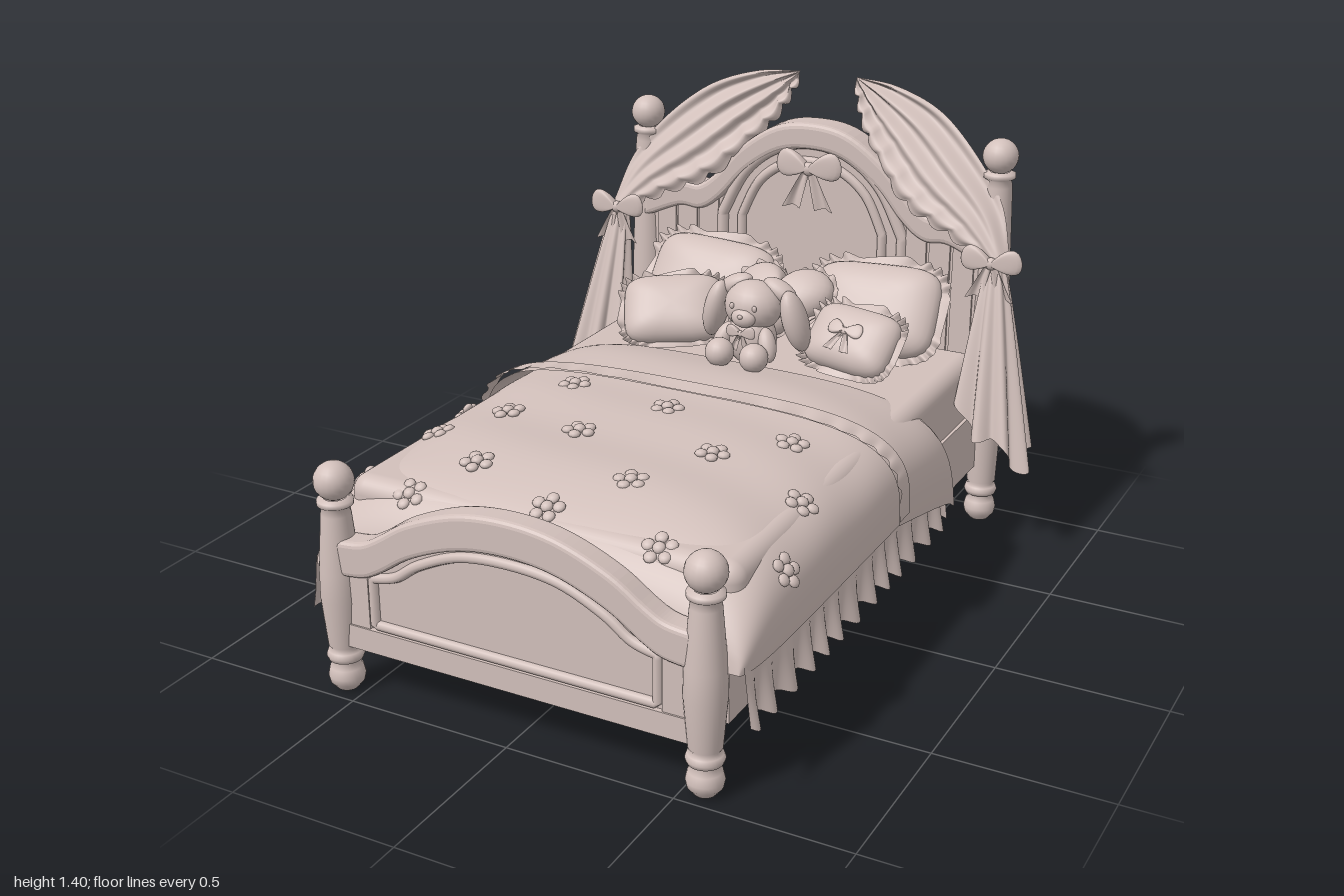
import * as THREE from 'three';
import { mergeVertices } from 'three/addons/utils/BufferGeometryUtils.js';
import { RoundedBoxGeometry } from 'three/addons/geometries/RoundedBoxGeometry.js';

const { sin, cos, abs, sign, pow, max, PI } = Math;
const V = (x, y, z) => new THREE.Vector3(x, y, z);
const blush = new THREE.MeshStandardMaterial({ color: 0xd2c0bb, side: THREE.DoubleSide });
blush.name = 'blush';

function add(parent, name, geo, x = 0, y = 0, z = 0) {
  const m = new THREE.Mesh(geo, blush);
  m.name = name;
  m.position.set(x, y, z);
  parent.add(m);
  return m;
}
function group(parent, name, x = 0, y = 0, z = 0) {
  const g = new THREE.Group();
  g.name = name;
  g.position.set(x, y, z);
  parent.add(g);
  return g;
}
// smooth surface from a rule f(u, v) -> Vector3, u and v in 0..1
function sheet(f, nu, nv) {
  const pos = [], idx = [];
  for (let j = 0; j <= nv; j++) for (let i = 0; i <= nu; i++) pos.push(...f(i / nu, j / nv).toArray());
  for (let j = 0; j < nv; j++) for (let i = 0; i < nu; i++) {
    const a = j * (nu + 1) + i, b = a + nu + 1;
    idx.push(a, a + 1, b, a + 1, b + 1, b);
  }
  let g = new THREE.BufferGeometry();
  g.setAttribute('position', new THREE.Float32BufferAttribute(pos, 3));
  g.setIndex(idx);
  g = mergeVertices(g, 1e-5);
  g.computeVertexNormals();
  return g;
}
// stretched sphere, with fewer segments when tiny
function ball(parent, name, p, s, rz = 0, rx = 0) {
  const n = max(...s) > 0.025 ? 20 : 10;
  const m = add(parent, name, new THREE.SphereGeometry(1, n, n * 0.7), ...p);
  m.scale.set(...s);
  m.rotation.set(rx, 0, rz);
}

// outlines for cushions
const sp = (v, p) => sign(v) * pow(abs(v), p);
const square = (w, h) => a => [w * sp(cos(a), 0.45), h * sp(sin(a), 0.45)];
const heart = s => a => [s * 1.05 * sp(sin(a), 3),
  s * (13 * cos(a) - 5 * cos(2 * a) - 2 * cos(3 * a) - cos(4 * a)) / 16];
const loop = (w, h) => a => [w * (0.5 - 0.5 * cos(a)), h * sin(a) * (0.65 - 0.35 * cos(a))];
const puff = (o, t, n, rows) => sheet((u, v) => {
  const [x, y] = o(u * 2 * PI), f = (v - 0.5) * PI, r = pow(max(0, cos(f)), 0.7);
  return V(x * r, y * r, t * sin(f));
}, n, rows);

// bow: knot, two loops and two tails
function bow(parent, name, x, y, z, s) {
  const g = group(parent, name, x, y, z);
  ball(g, 'bowKnot', [0, 0, 0.01 * s], [0.2 * s, 0.2 * s, 0.17 * s]);
  for (const k of [-1, 1]) {
    const l = add(g, 'bowLoop', puff(loop(s, 0.55 * s), 0.16 * s, 24, 10));
    l.scale.x = k;
    l.rotation.z = k * 0.18;
    add(g, 'bowTail', sheet((u, v) => V(k * s * (0.05 + v * 0.45 + (u - 0.5) * (0.2 + 0.35 * v)),
      -s * v * (1.1 + 0.15 * abs(u - 0.5)), s * 0.07 * sin(u * PI * 2 + v * 2)), 8, 8));
  }
}

// cushion with a ruffled edge
function cushion(parent, name, o, t, p, lean, yaw, roll, frill) {
  const g = group(parent, name, ...p);
  g.rotation.order = 'YXZ';
  g.rotation.set(-lean, yaw, roll);
  add(g, 'cushionBody', puff(o, t, 48, 16));
  add(g, 'cushionRuffle', sheet((u, v) => {
    const [x, y] = o(u * 2 * PI), d = Math.hypot(x, y) || 1, w = sin(u * 2 * PI * 22);
    const k = 1 + (v * frill * (1 + 0.18 * w) - 0.012) / d;
    return V(x * k, y * k, 0.013 * v * w);
  }, 176, 3));
  return g;
}

// turned post with ball feet and finials
function post(parent, name, x, z, h) {
  const b = h - 0.055, e = h - 0.13;
  const pts = [[0, 0], [0.03, 0.003], [0.048, 0.025], [0.052, 0.045], [0.046, 0.07], [0.032, 0.088], [0.048, 0.095],
    [0.053, 0.108], [0.048, 0.122], [0.038, 0.128], [0.046, 0.14], [0.058, 0.14 + (e - 0.14) * 0.35],
    [0.056, 0.14 + (e - 0.14) * 0.55], [0.042, e - 0.02], [0.038, e], [0.05, e + 0.008], [0.05, e + 0.022], [0.032, e + 0.028]];
  const g = group(parent, name, x, 0, z);
  add(g, 'turnedShaft', new THREE.LatheGeometry(pts.map(p => new THREE.Vector2(...p)), 32));
  ball(g, 'finial', [0, b, 0], [0.056, 0.055, 0.056]);
}

// half profile of an arch mirrored into a full smooth curve, left to right
const arch = half => new THREE.SplineCurve([...half.slice(1).reverse().map(([x, y]) => [-x, y]), ...half]
  .map(p => new THREE.Vector2(...p))).getPoints(64);
const slab = (pts, depth, bevel = 0) => new THREE.ExtrudeGeometry(new THREE.Shape(pts),
  { depth, bevelEnabled: bevel > 0, bevelSize: bevel, bevelThickness: bevel, bevelSegments: 3 });
const band = (top, w) => [...top, ...top.map(p => new THREE.Vector2(p.x, p.y - w)).reverse()];
const rod = (pts, z, r) => {
  const path = new THREE.CurvePath();
  pts.forEach((p, i) => {
    const q = pts[(i + 1) % pts.length];
    path.add(new THREE.LineCurve3(V(p.x, p.y, z), V(q.x, q.y, z)));
  });
  return new THREE.TubeGeometry(path, 200, r, 8, true);
};
const V2 = (x, y) => new THREE.Vector2(x, y);

// bedspread rule: rounded section that falls away at the foot
const N = 3.5;
const rise = z => 0.29 * pow(max(0, 1 - pow(max(0, (z - 0.4) / 0.53), 4)), 0.5) - 0.03 * pow(max(0, -z - 0.05) / 0.3, 2);
const spreadAt = (u, z, half, bottom, lift) => {
  const a = u * PI, s = pow(max(0, sin(a)), 2 / N);
  const y = bottom + (0.36 + rise(z) + lift - bottom) * s;
  return V(half * sp(cos(a), 2 / N), y + 0.004 * sin(z * 17 + u * 9) * s, z);
};
const topY = (x, z) => 0.36 + rise(z) * pow(max(0, 1 - pow(abs(x) / 0.675, N)), 1 / N);

export function createModel() {
  const bed = new THREE.Group();
  bed.name = 'canopyBed';

  for (const k of [-1, 1]) {
    post(bed, 'headPost', k * 0.62, -0.915, 1.285);
    post(bed, 'footPost', k * 0.56, 0.94, 0.685);
  }
  add(bed, 'bedBase', new THREE.BoxGeometry(1.22, 0.2, 1.82), 0, 0.3, 0);
  add(bed, 'mattress', new RoundedBoxGeometry(1.2, 0.24, 1.72, 4, 0.05), 0, 0.475, -0.02);

  // headboard
  const headTop = arch([[0, 1.25], [0.12, 1.23], [0.24, 1.15], [0.33, 1.05], [0.4, 1.0], [0.48, 1.0], [0.6, 0.95]]);
  add(bed, 'headboardPanel', slab([V2(-0.6, 0.2), V2(0.6, 0.2), ...headTop.slice().reverse()], 0.07), 0, 0, -0.955);
  add(bed, 'headboardRim', slab(band(headTop, 0.05), 0.075, 0.018), 0, 0, -0.955);
  const inner = arch([[0, 1.14], [0.1, 1.12], [0.19, 1.05], [0.25, 0.93]]);
  add(bed, 'headboardInnerFrame', rod([V2(-0.25, 0.62), ...inner, V2(0.25, 0.62)], -0.885, 0.016));
  const outer = arch([[0, 1.2], [0.13, 1.17], [0.24, 1.08], [0.32, 0.93]]);
  add(bed, 'headboardOuterFrame', rod([V2(-0.32, 0.62), ...outer, V2(0.32, 0.62)], -0.885, 0.02));
  for (const k of [-1, 1]) for (const x of [0.37, 0.45, 0.53])
    add(bed, 'headboardBatten', new THREE.BoxGeometry(0.07, 0.42, 0.012), k * x, 0.76, -0.882);
  bow(bed, 'headboardBow', 0.01, 1.13, -0.835, 0.115);

  // footboard
  const footTop = arch([[0, 0.635], [0.15, 0.618], [0.3, 0.56], [0.4, 0.495], [0.46, 0.465], [0.54, 0.455]]);
  add(bed, 'footboardPanel', slab([V2(-0.54, 0.15), V2(0.54, 0.15), ...footTop.slice().reverse()], 0.05), 0, 0, 0.905);
  add(bed, 'footboardRim', slab(band(footTop, 0.075), 0.05, 0.015), 0, 0, 0.915);
  add(bed, 'footboardBottomRail', new THREE.BoxGeometry(1.06, 0.07, 0.07), 0, 0.185, 0.935);
  for (const k of [-1, 1]) add(bed, 'footboardStile', new THREE.BoxGeometry(0.08, 0.24, 0.06), k * 0.49, 0.29, 0.935);
  const panelTop = arch([[0, 0.52], [0.15, 0.505], [0.28, 0.45], [0.36, 0.395], [0.435, 0.375]]);
  add(bed, 'footboardPanelFrame', rod([V2(-0.435, 0.235), ...panelTop, V2(0.435, 0.235)], 0.957, 0.015));

  // bedspread with turned-down flap and lace band
  const back = (p, u, v, d) => { p.z -= d * pow(1 - v, 3) * (1 - pow(max(0, sin(u * PI)), 0.6)); return p; };
  add(bed, 'bedspread', sheet((u, v) => back(spreadAt(u, -0.33 + 1.26 * (1 - pow(1 - v, 1.4)),
    0.675 - 0.03 * pow(v, 8), 0.355, 0), u, v, 0.1), 72, 48));
  add(bed, 'turnedFlap', sheet((u, v) => {
    const z = -0.35 + 0.36 * v;
    return back(spreadAt(u, z, 0.695, 0.25 + 0.13 * pow(v, 0.6), 0.014), u, v, 0.1);
  }, 72, 16));
  add(bed, 'laceBand', sheet((u, v) => {
    const z = -0.045 + v * (0.07 + 0.012 * sin(u * 110));
    return spreadAt(u, z, 0.703, 0.4, 0.024 + 0.006 * sin(u * 110) * v);
  }, 200, 4));

  // gathered skirt along both sides
  for (const k of [-1, 1]) add(bed, 'skirt', sheet((u, v) => {
    const w = sin(u * 2 * PI * 13 + 0.8 * sin(u * 19));
    return V(k * (0.655 + 0.02 * v + 0.017 * v * w), 0.375 - v * (0.165 + 0.012 * w), 0.92 - 1.36 * u);
  }, 180, 5));

  // raised flowers scattered on the bedspread
  const spots = [[-0.33, 0.07], [0.01, 0.12], [0.42, 0.15], [-0.4, 0.33], [-0.13, 0.38], [0.27, 0.34], [0.57, 0.41], [-0.53, 0.5],
    [0.16, 0.6], [-0.28, 0.67], [0.645, 0.66], [0.01, 0.78], [0.36, 0.81], [-0.4, 0.82], [-0.645, 0.2], [-0.645, 0.7]];
  spots.forEach(([x, z], i) => {
    const e = 0.004, g = group(bed, 'flower', x, topY(x, z), z);
    const n = V(topY(x - e, z) - topY(x + e, z), 2 * e, topY(x, z - e) - topY(x, z + e)).normalize();
    g.quaternion.setFromUnitVectors(V(0, 1, 0), n);
    ball(g, 'flowerCentre', [0, 0.006, 0], [0.018, 0.013, 0.018]);
    for (let j = 0; j < 5; j++) {
      const a = j * PI * 0.4 + i;
      ball(g, 'petal', [0.033 * cos(a), 0.002, 0.033 * sin(a)], [0.018, 0.011, 0.018]);
    }
  });

  // cushions
  for (const k of [-1, 1])
    cushion(bed, 'backPillow', square(0.215, 0.15), 0.075, [k * 0.29, 0.73, -0.735], 0.6, 0, k * 0.05, 0.04);
  cushion(bed, 'heartCushion', heart(0.155), 0.07, [0.03, 0.76, -0.61], 0.8, 0, 0, 0.025);
  cushion(bed, 'leftCushion', square(0.16, 0.115), 0.065, [-0.29, 0.715, -0.48], 0.75, 0.38, 0.08, 0.03);
  const c = cushion(bed, 'rightCushion', square(0.145, 0.105), 0.065, [0.33, 0.715, -0.48], 0.75, -0.12, -0.05, 0.035);
  bow(c, 'cushionBow', 0, 0, 0.07, 0.06);

  // toy rabbit
  const r = group(bed, 'toyRabbit', 0.035, 0, -0.38);
  ball(r, 'body', [0, 0.71, 0], [0.08, 0.09, 0.07]);
  ball(r, 'head', [0, 0.81, -0.01], [0.092, 0.08, 0.08]);
  ball(r, 'muzzle', [0, 0.79, 0.06], [0.04, 0.03, 0.025]);
  ball(r, 'nose', [0, 0.8, 0.085], [0.009, 0.007, 0.006]);
  for (const k of [-1, 1]) {
    ball(r, 'earRoot', [k * 0.075, 0.86, -0.04], [0.06, 0.03, 0.035], -k * 0.45);
    ball(r, 'ear', [k * 0.135, 0.775, -0.025], [0.038, 0.1, 0.05], k * 0.25, 0.15);
    ball(r, 'arm', [k * 0.075, 0.71, 0.045], [0.027, 0.055, 0.03], k * 0.35, -0.4);
    ball(r, 'foot', [k * 0.058, 0.685, 0.105], [0.045, 0.045, 0.045]);
    ball(r, 'eye', [k * 0.038, 0.825, 0.063], [0.008, 0.01, 0.006]);
  }
  bow(r, 'neckBow', 0, 0.745, 0.078, 0.05);

  // curtains, tied back at the head posts
  const upper = new THREE.CatmullRomCurve3([V(0.1, 1.405, -0.995), V(0.24, 1.395, -0.985), V(0.4, 1.34, -0.965),
    V(0.54, 1.23, -0.92), V(0.65, 1.09, -0.875), V(0.7, 0.94, -0.82)]);
  const lower = new THREE.CatmullRomCurve3([V(0.1, 1.4, -0.99), V(0.14, 1.3, -0.945), V(0.22, 1.19, -0.885),
    V(0.35, 1.07, -0.82), V(0.5, 1.0, -0.8), V(0.64, 0.93, -0.8)]);
  for (const k of [-1, 1]) {
    const g = group(bed, 'curtain');
    g.scale.x = k;
    add(g, 'curtainSwag', sheet((u, v) => {
      const p = upper.getPoint(u).lerp(lower.getPoint(u), v);
      const s = 0.018 * abs(sin(u * PI * 10)) * pow(v, 6);
      p.z += 0.016 * sin(v * PI * 7 + u * 2) * sin(PI * pow(u, 0.7)) + 0.03 * sin(v * PI) * u;
      return p.add(V(-0.6 * s, -s, 0));
    }, 70, 40));
    // pleated tail, longest on the outside
    add(g, 'curtainTail', sheet((u, v) => {
      const a = u * 2 * PI, w = 1 + 0.2 * sin(a * 8) * (0.4 + 0.6 * v), f = 0.22 + 0.78 * pow(v, 0.8);
      const len = 0.53 + 0.085 * cos(a) + 0.03 * sin(a * 4);
      return V(0.665 + 0.05 * v + 0.112 * f * w * cos(a), 0.93 - len * v, -0.8 + 0.085 * v + 0.085 * f * w * sin(a));
    }, 128, 14));
    bow(g, 'tieBow', 0.66, 0.93, -0.765, 0.1);
  }
  return bed;
}
